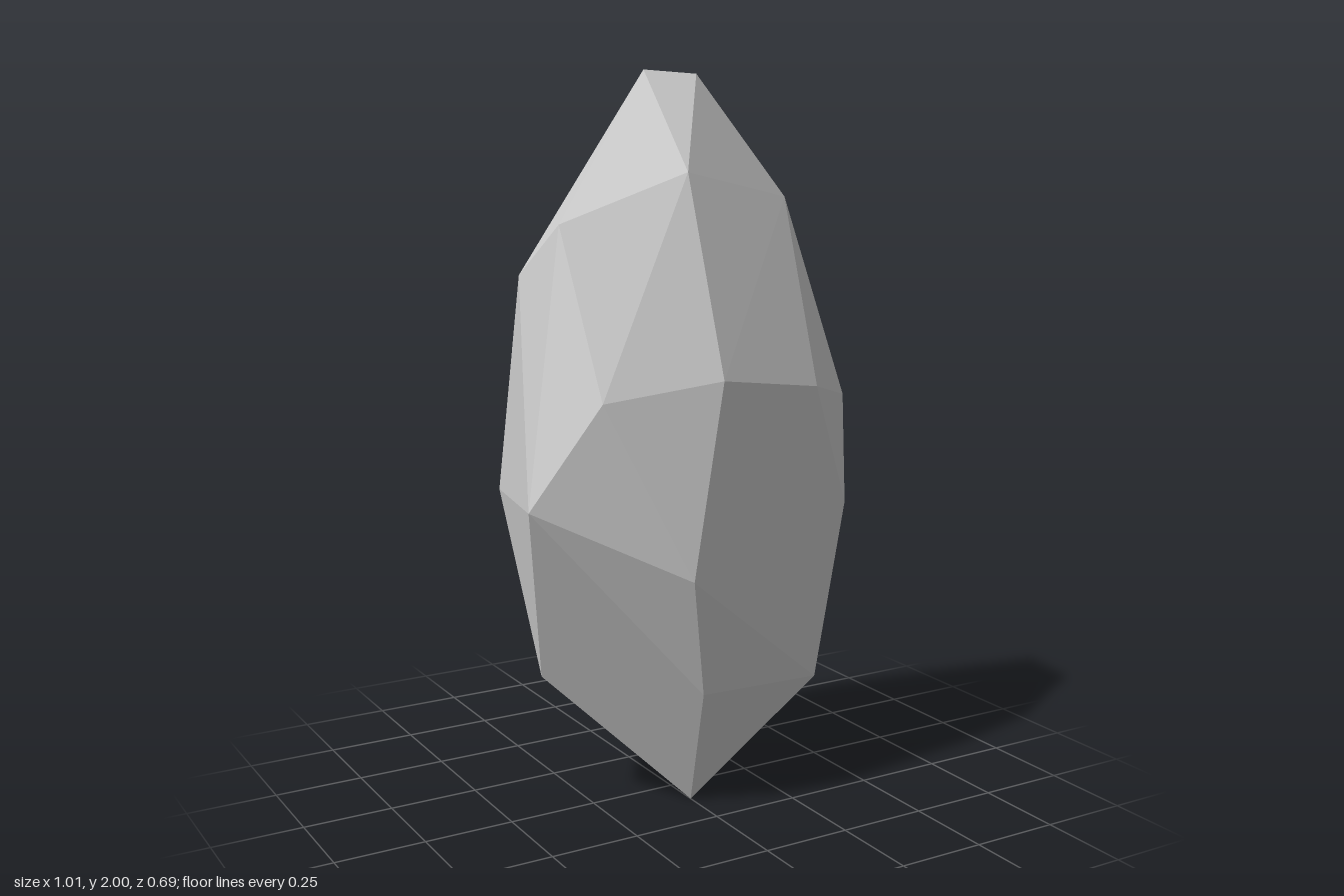
import * as THREE from 'three';
import { ConvexGeometry } from 'three/addons/geometries/ConvexGeometry.js';

// Corner points of the cut stone, in rings from top to bottom
const rings = {
  crown: [[-0.10, 2.0, 0.03], [0.03, 1.99, 0.08], [0.10, 1.92, -0.045]],
  shoulder: [
    [-0.37, 1.61, 0.07], [-0.06, 1.74, 0.19], [0.285, 1.67, 0.12],
    [0.06, 1.73, -0.11], [-0.18, 1.35, -0.27], [-0.40, 1.47, -0.11],
  ],
  girdle: [
    [-0.34, 1.17, 0.245], [-0.045, 1.22, 0.347], [0.30, 1.17, 0.265],
    [0.47, 1.12, 0.15], [0.505, 1.13, -0.08], [0.36, 1.11, -0.25],
  ],
  belly: [
    [-0.505, 0.89, 0.15], [-0.125, 0.70, 0.336], [0.455, 0.82, 0.19],
    [0.26, 0.85, -0.277], [-0.12, 0.90, -0.347], [-0.41, 0.87, -0.24],
  ],
  base: [
    [-0.39, 0.385, -0.03], [-0.05, 0.36, 0.26], [0.35, 0.33, 0.205],
    [0.425, 0.36, -0.11], [0.02, 0.21, -0.125], [-0.26, 0.36, -0.21],
  ],
  tip: [[0, 0, 0.11]],
};

export function createModel() {
  const group = new THREE.Group();
  group.name = 'facetedStone';

  // Flat facets stretched over the corners
  const points = Object.values(rings).flat().map((p) => new THREE.Vector3(...p));
  const stone = new THREE.Mesh(
    new ConvexGeometry(points),
    new THREE.MeshStandardMaterial({ color: 0xcccccc, flatShading: true }),
  );
  stone.name = 'stone';
  group.add(stone);
  return group;
}
